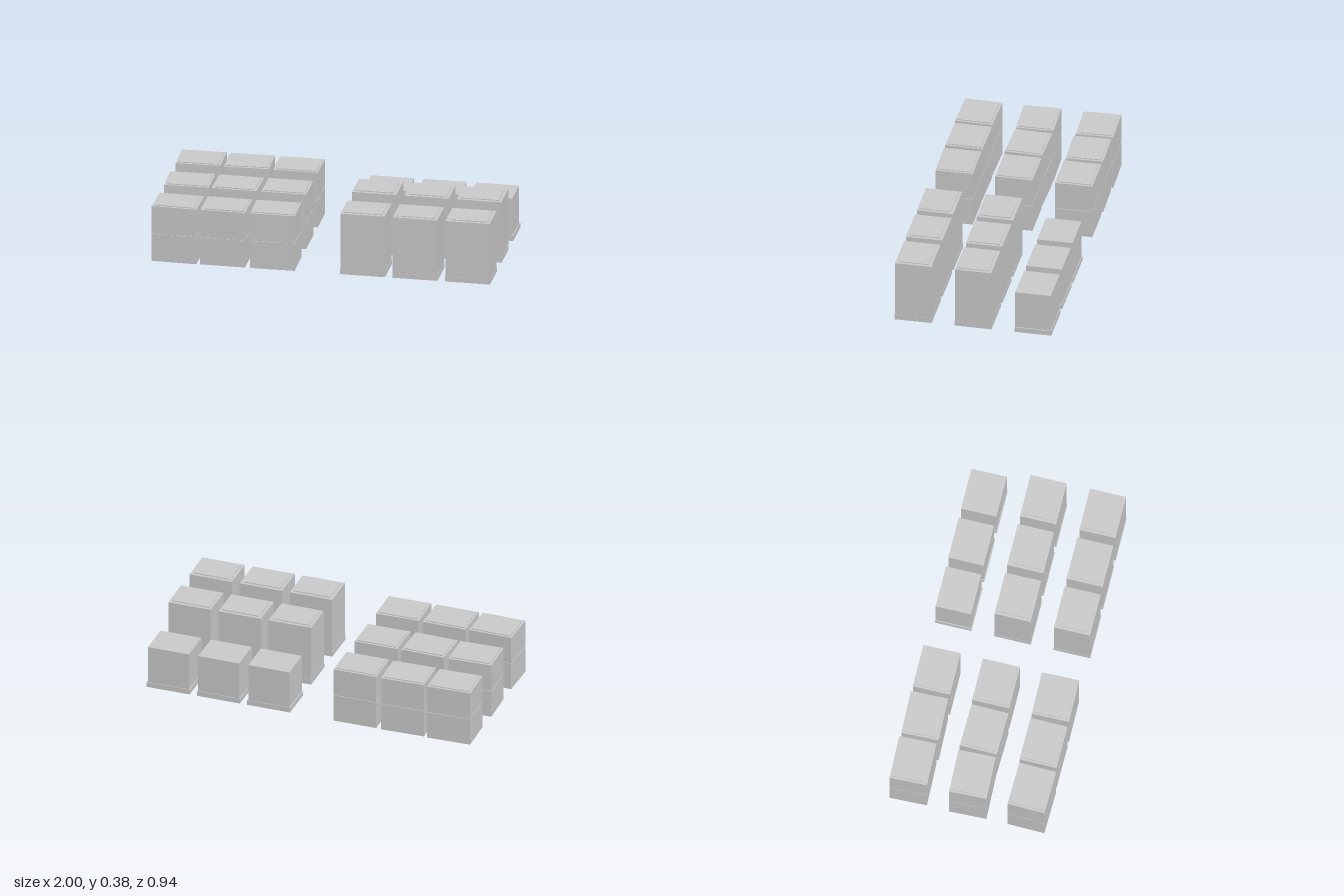
import * as THREE from 'three';

const grey = new THREE.MeshStandardMaterial({ color: 0xcccccc });
grey.name = 'plain grey';

// Box given by its footprint and its bottom and top heights
function slab(name, w, d, y0, y1) {
  const mesh = new THREE.Mesh(new THREE.BoxGeometry(w, y1 - y0, d), grey);
  mesh.name = name;
  mesh.position.y = (y0 + y1) / 2;
  return mesh;
}

// Two cartons on top of each other, with a narrow seam and a thin lid panel
function cartonStack() {
  const g = new THREE.Group();
  g.name = 'cartonStack';
  g.add(
    slab('lowerCarton', 0.264, 0.222, 0, 0.168),
    slab('seam', 0.256, 0.214, 0.168, 0.173),
    slab('upperCarton', 0.264, 0.222, 0.173, 0.34),
    slab('lidPanel', 0.238, 0.195, 0.34, 0.345)
  );
  return g;
}

// Tall crate on a base, with a thin lid panel
function tallCrate() {
  const g = new THREE.Group();
  g.name = 'tallCrate';
  g.add(
    slab('base', 0.266, 0.219, 0, 0.031),
    slab('crate', 0.262, 0.216, 0.031, 0.376),
    slab('lidPanel', 0.226, 0.177, 0.376, 0.381)
  );
  return g;
}

// Short crate on a base, without a lid panel
function shortCrate() {
  const g = new THREE.Group();
  g.name = 'shortCrate';
  g.add(
    slab('base', 0.266, 0.219, 0, 0.031),
    slab('crate', 0.254, 0.211, 0.031, 0.263)
  );
  return g;
}

export function createModel() {
  const model = new THREE.Group();
  model.name = 'storedCrates';
  const rows = [0.355, 0, -0.355];
  const stackX = [-0.866, -0.58, -0.288];
  const crateX = [0.246, 0.556, 0.867];
  // Slight turn of each carton stack, by row
  const turns = [
    [-0.025, -0.01, 0.012],
    [0.03, -0.025, 0],
    [0.025, 0.028, 0.003]
  ];

  rows.forEach((z, r) => {
    stackX.forEach((x, c) => {
      const stack = cartonStack();
      stack.position.set(x, 0, z);
      stack.rotation.y = turns[r][c];
      model.add(stack);
    });
    crateX.forEach((x) => {
      const crate = r < 2 ? tallCrate() : shortCrate();
      crate.position.set(x, 0, z);
      model.add(crate);
    });
  });
  return model;
}
